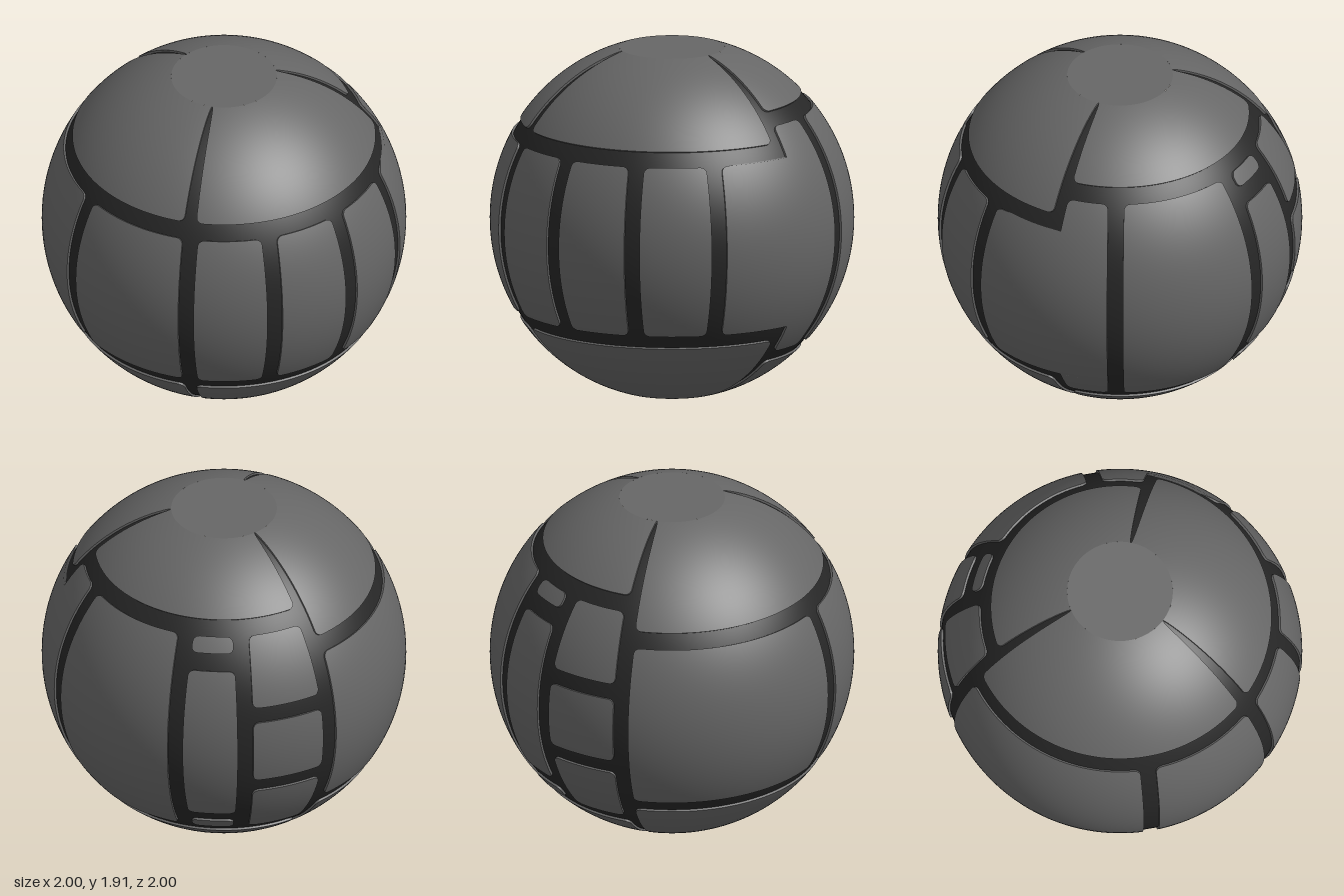
import * as THREE from 'three';
import { mergeGeometries } from 'three/addons/utils/BufferGeometryUtils.js';

const RAD = Math.PI / 180;
const CENTRE_Y = 0.957;          // sphere centre; also the height of the flats
const FLAT = 73.14;              // latitude where the poles are cut flat
const CORE = 0.988;              // radius of the groove floor
const HALF = 0.0435;             // half width of a groove
const FILLET = 0.035;            // corner radius of the panels
const BAND = [28.4, 33.7];       // latitudes of the front ring groove
const BACK = [39.4, 44.8];       // latitudes of the raised back ring groove

const panelMat = new THREE.MeshStandardMaterial({ color: 0x666666 });
const grooveMat = new THREE.MeshStandardMaterial({ color: 0x262626 });

const onSphere = (lon, lat, r) => new THREE.Vector3(
  Math.sin(lon * RAD) * Math.cos(lat * RAD), Math.sin(lat * RAD),
  Math.cos(lon * RAD) * Math.cos(lat * RAD)).multiplyScalar(r);

// Degrees of longitude covered by a length along a parallel
const toLon = (length, lat) => length / Math.cos(lat * RAD) / RAD;

// Half width of a groove that narrows to a point at the flat
const spike = lat => 0.034 * Math.sqrt(Math.max(0, (FLAT - Math.abs(lat)) / (FLAT - BAND[1])));
const straight = () => HALF;

// How far a rounded corner pulls the side in, at latitude distance d from an end
function cornerInset(degrees) {
  const d = degrees * RAD;
  return d >= FILLET ? 0 : FILLET - Math.sqrt(Math.max(0, FILLET ** 2 - (FILLET - d) ** 2));
}

// Latitudes of the rows: dense in the rounded corners, even between them
function rowLatitudes(lo, hi) {
  const f = FILLET / RAD, rows = [];
  const corner = [0, 0.04, 0.13, 0.28, 0.5, 0.75, 1].map(t => t * f);
  corner.forEach(d => rows.push(lo + d));
  const n = Math.max(2, Math.ceil((hi - lo - 2 * f) / 2.5));
  for (let i = 1; i < n; i++) rows.push(lo + f + (hi - lo - 2 * f) * i / n);
  corner.reverse().forEach(d => rows.push(hi - d));
  return rows;
}

// Raised spherical panel lofted from rows of [latitude, left longitude, right longitude]
function loft(name, rows) {
  const widest = Math.max(...rows.map(r => r[2] - r[1]));
  const cols = Math.max(6, Math.ceil(widest / 2.2));
  const pos = [], nor = [], idx = [], rim = [];
  const at = (i, j) => {
    const [lat, l, r] = rows[i];
    return [l + (r - l) * j / cols, lat];
  };
  rows.forEach((_, i) => {
    for (let j = 0; j <= cols; j++) {
      const p = onSphere(...at(i, j), 1);
      pos.push(p.x, p.y, p.z);
      nor.push(p.x, p.y, p.z);
      if (i && j) {
        const a = (i - 1) * (cols + 1) + j - 1, b = a + cols + 1;
        idx.push(a, a + 1, b + 1, a, b + 1, b);
      }
    }
  });
  const top = new THREE.BufferGeometry();
  top.setAttribute('position', new THREE.Float32BufferAttribute(pos, 3));
  top.setAttribute('normal', new THREE.Float32BufferAttribute(nor, 3));
  top.setIndex(idx);

  // Wall around the rim, down to just under the groove floor
  const last = rows.length - 1;
  for (let j = 0; j < cols; j++) rim.push(at(0, j));
  for (let i = 0; i < last; i++) rim.push(at(i, cols));
  for (let j = cols; j > 0; j--) rim.push(at(last, j));
  for (let i = last; i > 0; i--) rim.push(at(i, 0));
  const wallPos = [], wallIdx = [];
  rim.forEach((p, k) => {
    wallPos.push(...onSphere(...p, 1).toArray(), ...onSphere(...p, CORE - 0.004).toArray());
    const a = 2 * k, b = 2 * ((k + 1) % rim.length);
    wallIdx.push(a + 1, b + 1, b, a + 1, b, a);
  });
  const wall = new THREE.BufferGeometry();
  wall.setAttribute('position', new THREE.Float32BufferAttribute(wallPos, 3));
  wall.setIndex(wallIdx);
  wall.computeVertexNormals();

  const mesh = new THREE.Mesh(mergeGeometries([top, wall]), panelMat);
  mesh.name = name;
  return mesh;
}

// Panel between two groove centre lines and two latitudes
function panel(name, left, right, lo, hi, half = straight) {
  return loft(name, rowLatitudes(lo, hi).map(lat => {
    let inset = 0;
    if (lo > -FLAT) inset += cornerInset(lat - lo);
    if (hi < FLAT) inset += cornerInset(hi - lat);
    const d = toLon(half(lat) + inset, lat);
    return [lat, left + d, right - d];
  }));
}

// Side panel whose rear part reaches up and down to the back ring
function steppedPanel(name, left, step, right) {
  const [b, h] = [BAND[0], BACK[0]];
  const rows = [];
  const rear = (lo, hi) => rowLatitudes(lo, hi).forEach(lat => {
    const end = cornerInset(h - Math.abs(lat));
    rows.push([lat, step + toLon(HALF + end, lat), right - toLon(HALF + end, lat)]);
  });
  rear(-h, -b - 0.01);
  rowLatitudes(-b, b).forEach(lat => {
    const inset = cornerInset(b - Math.abs(lat));
    rows.push([lat, left + toLon(HALF + inset, lat), right - toLon(HALF, lat)]);
  });
  rear(b + 0.01, h);
  return loft(name, rows);
}

export function createModel() {
  const model = new THREE.Group();
  model.name = 'panelledBall';
  const ball = new THREE.Group();
  ball.name = 'ball';
  ball.position.y = CENTRE_Y;
  model.add(ball);

  // Dark core forming the groove floor
  const cut = (90 - FLAT) * RAD;
  const core = new THREE.Mesh(
    new THREE.SphereGeometry(CORE, 128, 80, 0, Math.PI * 2, cut, Math.PI - 2 * cut), grooveMat);
  core.name = 'grooveCore';
  ball.add(core);

  // Tall panels between the front ring grooves
  const front = [-122, -44, 0.8, 29.3, 57.5, 85.5];
  for (let i = 0; i < front.length - 1; i++)
    ball.add(panel('frontPanel' + (i + 1), front[i], front[i + 1], -BAND[0], BAND[0]));

  // Side and rear panels
  ball.add(steppedPanel('sidePanel', 85.5, 113.2, 136.3));
  ball.add(panel('rearPanel', 136.3, 186.8, -BACK[0], BACK[0]));
  ball.add(panel('narrowRearPanel', 186.8, 209.3, -BAND[0], BAND[0]));

  // Column of three rear blocks
  const bar = 13.5, gap = 2.5;
  ball.add(panel('rearBlockLower', 209.3, 238, -BACK[0], -bar - gap));
  ball.add(panel('rearBlockMiddle', 209.3, 238, -bar + gap, bar - gap));
  ball.add(panel('rearBlockUpper', 209.3, 238, bar + gap, BACK[0]));

  // Polar parts, the same above and below
  const sectors = [
    ['LeftSector', 0, 114, BAND[1]],
    ['RearSector', 114, 238, BACK[1]],
    ['RightSector', -122, 0, BAND[1]],
  ];
  for (const s of [1, -1]) {
    const place = s > 0 ? 'upper' : 'lower';
    const range = (a, b) => s > 0 ? [a, b] : [-b, -a];
    ball.add(panel(place + 'SmallPanel', 186.8, 209.3, ...range(BAND[1] + 0.3, BACK[0])));
    for (const [name, l, r, base] of sectors)
      ball.add(panel(place + name, l, r, ...range(base, FLAT), spike));
    const flat = new THREE.Mesh(new THREE.CircleGeometry(Math.cos(FLAT * RAD), 96), panelMat);
    flat.name = place + 'Flat';
    flat.rotation.x = -s * Math.PI / 2;
    flat.position.y = s * Math.sin(FLAT * RAD);
    ball.add(flat);
  }
  return model;
}
